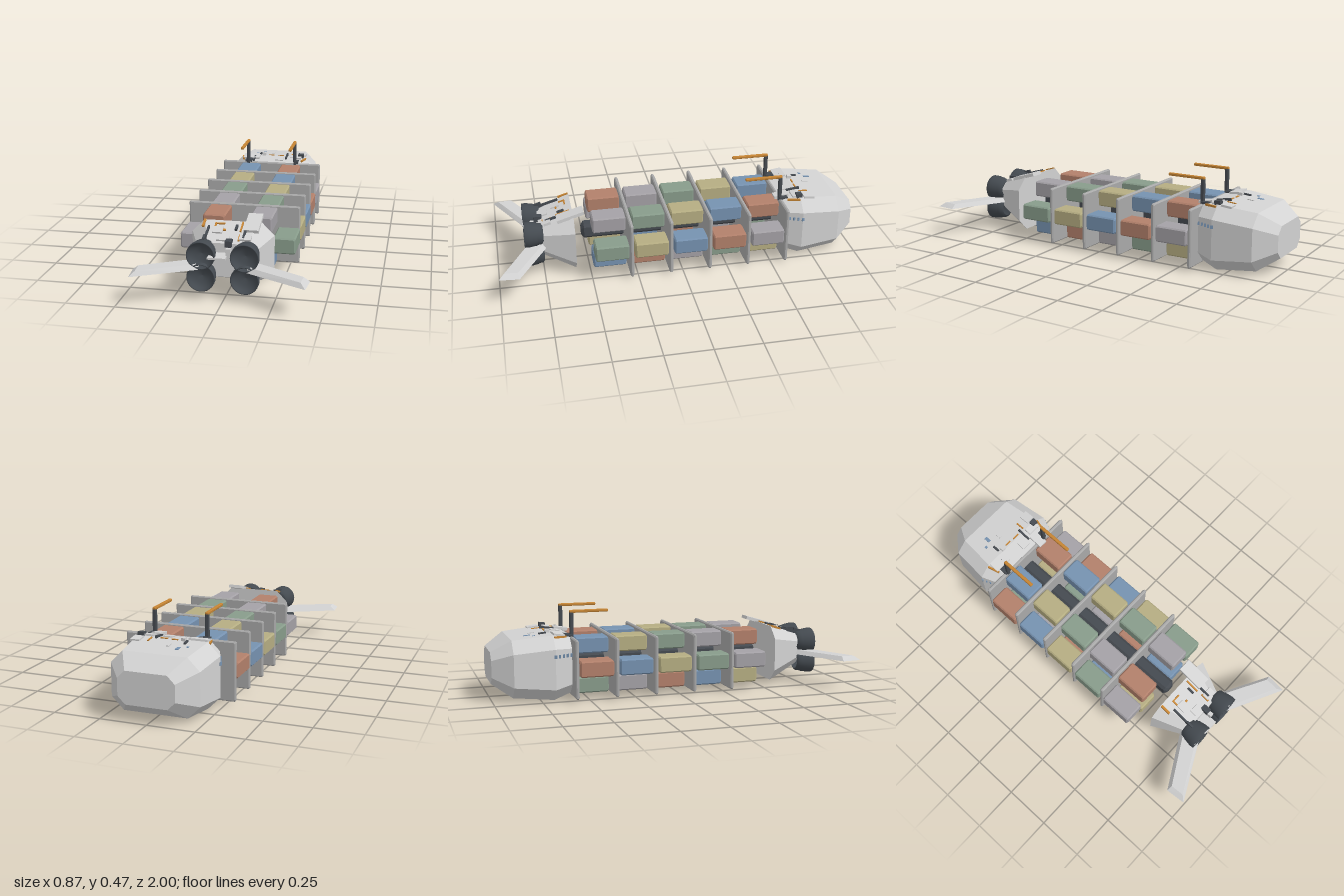
import * as THREE from 'three';
import { ConvexGeometry } from 'three/addons/geometries/ConvexGeometry.js';

const mat = (name, color, extra = {}) => {
  const m = new THREE.MeshStandardMaterial({ color, flatShading: true, ...extra });
  m.name = name;
  return m;
};

// Loft of chamfered rectangles along z; each section is [z, halfWidth, yBottom, yTop, chamfer]
function loft(sections) {
  const pos = [], idx = [];
  for (const [z, w, b, t, c] of sections) {
    pos.push(w, b + c, z, w, t - c, z, w - c, t, z, c - w, t, z,
      -w, t - c, z, -w, b + c, z, c - w, b, z, w - c, b, z);
  }
  const last = (sections.length - 1) * 8;
  for (let s = 0; s < last; s += 8) {
    for (let i = 0; i < 8; i++) {
      const j = (i + 1) % 8;
      idx.push(s + i, s + j, s + 8 + j, s + i, s + 8 + j, s + 8 + i);
    }
  }
  for (let i = 1; i < 7; i++) idx.push(0, i + 1, i, last, last + i, last + i + 1);
  const g = new THREE.BufferGeometry();
  g.setAttribute('position', new THREE.Float32BufferAttribute(pos, 3));
  g.setIndex(idx);
  const flat = g.toNonIndexed();
  flat.computeVertexNormals();
  return flat;
}

// Box with bevelled edges, centred on the origin
function bevelBox(w, h, d, c) {
  const x = w / 2, y = h / 2, z = d / 2;
  return loft([[-z, x - c, c - y, y - c, c], [c - z, x, -y, y, c],
    [z - c, x, -y, y, c], [z, x - c, c - y, y - c, c]]);
}

export function createModel() {
  const root = new THREE.Group();
  root.name = 'cargoShip';

  const hull = mat('hull light grey', 0xd2d2d2);
  const frame = mat('bulkhead grey', 0xa9a9a9);
  const dark = mat('dark metal', 0x454a50);
  const orange = mat('orange', 0xc58434);
  const grey = mat('container grey', 0xa4a1a6);
  const green = mat('container green', 0x889c8b);
  const yellow = mat('container yellow', 0xb5ad82);
  const blue = mat('container blue', 0x7692b0);
  const brown = mat('container rust', 0xb2806b);
  const bell = mat('engine dark', 0x444a50, { flatShading: false, side: THREE.DoubleSide });

  const add = (name, geo, m, x = 0, y = 0, z = 0, parent = root) => {
    const mesh = new THREE.Mesh(geo, m);
    mesh.name = name;
    mesh.position.set(x, y, z);
    parent.add(mesh);
    return mesh;
  };

  // Command section at the far end
  add('commandHull', loft([
    [-1, 0.15, 0.09, 0.26, 0.04], [-0.895, 0.235, 0.02, 0.325, 0.065],
    [-0.68, 0.255, 0.0, 0.345, 0.065], [-0.58, 0.215, 0.03, 0.33, 0.055]]), hull);

  // Engine section
  add('engineHull', loft([
    [0.578, 0.213, 0.02, 0.33, 0.065], [0.765, 0.135, 0.1, 0.275, 0.045]]), hull);

  // Spine
  add('spine', bevelBox(0.075, 0.085, 1.11, 0.015), dark, 0, 0.173, -0.025);

  // Bulkheads and the six containers of each bay
  const paints = [grey, green, yellow, blue, brown];
  const slots = [
    [0.123, 0.282, 0], [0.245, 0.174, 1], [0.123, 0.067, 3],
    [-0.123, 0.282, 4], [-0.245, 0.174, 0], [-0.123, 0.067, 2]];
  const containerGeo = bevelBox(0.118, 0.086, 0.182, 0.007);
  const bulkheadGeo = bevelBox(0.602, 0.315, 0.02, 0.006);
  for (let bay = 0; bay < 5; bay++) {
    const z = 0.392 - bay * 0.2155;
    add('bulkhead', bulkheadGeo, frame, 0, 0.173, z - 0.106);
    for (const [x, y, shift] of slots) {
      add('container', containerGeo, paints[(bay + shift) % 5], x, y, z);
    }
  }

  // Four engine bells with recessed nozzles
  const bellProfile = [[0.045, 0], [0.058, 0.01], [0.06, 0.03], [0.064, 0.036], [0.071, 0.075],
    [0.071, 0.1], [0.066, 0.1], [0.058, 0.08], [0.035, 0.064], [0, 0.058]]
    .map(([r, y]) => new THREE.Vector2(r, y));
  const bellGeo = new THREE.LatheGeometry(bellProfile, 28).rotateX(Math.PI / 2);
  for (const x of [-0.109, 0.109]) {
    for (const y of [0.117, 0.232]) add('engineBell', bellGeo, bell, x, y, 0.745);
  }

  // Raked fins, windows and cargo cranes, mirrored
  for (const s of [-1, 1]) {
    const P = (x, y, z) => new THREE.Vector3(s * x, y, z);
    add('fin', new ConvexGeometry([
      P(0.12, 0.16, 0.72), P(0.435, 0.16, 0.893), P(0.425, 0.16, 1.0), P(0.12, 0.16, 0.845),
      P(0.12, 0.183, 0.74), P(0.405, 0.183, 0.897), P(0.4, 0.183, 0.97), P(0.12, 0.183, 0.825)]), hull);

    for (let i = 0; i < 5; i++) {
      const z = -0.592 - i * 0.022;
      const x = z > -0.68 ? 0.215 + (-0.58 - z) * 0.4 : 0.255;
      const w = add('window', new THREE.BoxGeometry(0.006, 0.018, 0.014), blue, s * x, 0.242, z);
      w.rotation.y = s * 0.38;
    }

    const crane = new THREE.Group();
    crane.name = 'crane';
    crane.position.set(s * 0.144, 0, -0.572);
    root.add(crane);
    add('cranePost', bevelBox(0.02, 0.14, 0.02, 0.003), dark, 0, 0.39, 0, crane);
    add('craneArm', bevelBox(0.018, 0.015, 0.21, 0.003), orange, 0, 0.462, 0.095, crane);
    add('craneFoot', new THREE.BoxGeometry(0.04, 0.015, 0.045), dark, 0, 0.335, -0.02, crane);
    const brace = add('craneBrace', new THREE.BoxGeometry(0.01, 0.01, 0.07), orange, s * 0.045, 0.335, -0.07, crane);
    brace.rotation.y = -s * 0.25;
  }

  // Deck fittings: [material, x, z, width, height, depth]
  const fittings = (name, list, heightAt) => {
    for (const [m, x, z, w, h, d] of list) {
      const f = add(name, new THREE.BoxGeometry(w, h, d), m, x, heightAt(z) + h / 2 - 0.004, z);
      f.rotation.x = Math.atan2(heightAt(z - 0.01) - heightAt(z + 0.01), 0.02);
    }
  };
  fittings('commandFitting', [
    [hull, -0.135, -0.645, 0.1, 0.014, 0.06], [hull, 0.115, -0.585, 0.05, 0.018, 0.08],
    [hull, -0.066, -0.69, 0.022, 0.02, 0.025], [hull, -0.02, -0.77, 0.016, 0.008, 0.035],
    [hull, 0.17, -0.73, 0.05, 0.012, 0.06], [hull, 0.14, -0.66, 0.07, 0.014, 0.04],
    [hull, 0.04, -0.63, 0.05, 0.01, 0.05], [blue, -0.08, -0.8, 0.018, 0.006, 0.035],
    [blue, -0.12, -0.77, 0.014, 0.006, 0.015], [dark, 0.17, -0.675, 0.034, 0.024, 0.032],
    [dark, 0.08, -0.665, 0.01, 0.014, 0.08], [dark, -0.115, -0.615, 0.01, 0.014, 0.07],
    [dark, -0.09, -0.72, 0.012, 0.012, 0.04], [orange, -0.02, -0.693, 0.035, 0.008, 0.008],
    [orange, 0.105, -0.72, 0.008, 0.008, 0.05], [orange, 0.04, -0.69, 0.04, 0.008, 0.008],
  ], z => z < -0.68 ? 0.345 + (z + 0.68) * 0.093 : 0.345 - (z + 0.68) * 0.15);
  fittings('engineFitting', [
    [hull, 0.108, 0.595, 0.075, 0.018, 0.15], [hull, -0.06, 0.665, 0.05, 0.012, 0.05],
    [hull, 0.09, 0.72, 0.06, 0.014, 0.04], [hull, -0.02, 0.73, 0.06, 0.012, 0.04],
    [dark, -0.11, 0.69, 0.01, 0.016, 0.1], [dark, 0.08, 0.68, 0.01, 0.016, 0.1],
    [dark, 0.03, 0.64, 0.012, 0.014, 0.04], [dark, -0.11, 0.755, 0.012, 0.03, 0.04],
    [orange, -0.143, 0.61, 0.012, 0.01, 0.06], [orange, 0.055, 0.63, 0.008, 0.012, 0.08],
    [orange, -0.06, 0.61, 0.05, 0.01, 0.008], [orange, -0.03, 0.66, 0.02, 0.01, 0.01],
    [orange, 0.06, 0.72, 0.01, 0.01, 0.05], [orange, -0.08, 0.63, 0.008, 0.01, 0.04],
  ], z => 0.33 - (z - 0.578) * 0.294);

  // Sensor cluster between the engine bells
  add('sensorHead', new THREE.BoxGeometry(0.032, 0.032, 0.045), dark, 0.016, 0.278, 0.765);
  add('sensorMast', new THREE.BoxGeometry(0.022, 0.045, 0.05), hull, 0.02, 0.24, 0.785);
  add('sensorPlate', new THREE.BoxGeometry(0.09, 0.01, 0.085), hull, -0.03, 0.222, 0.805);

  return root;
}
